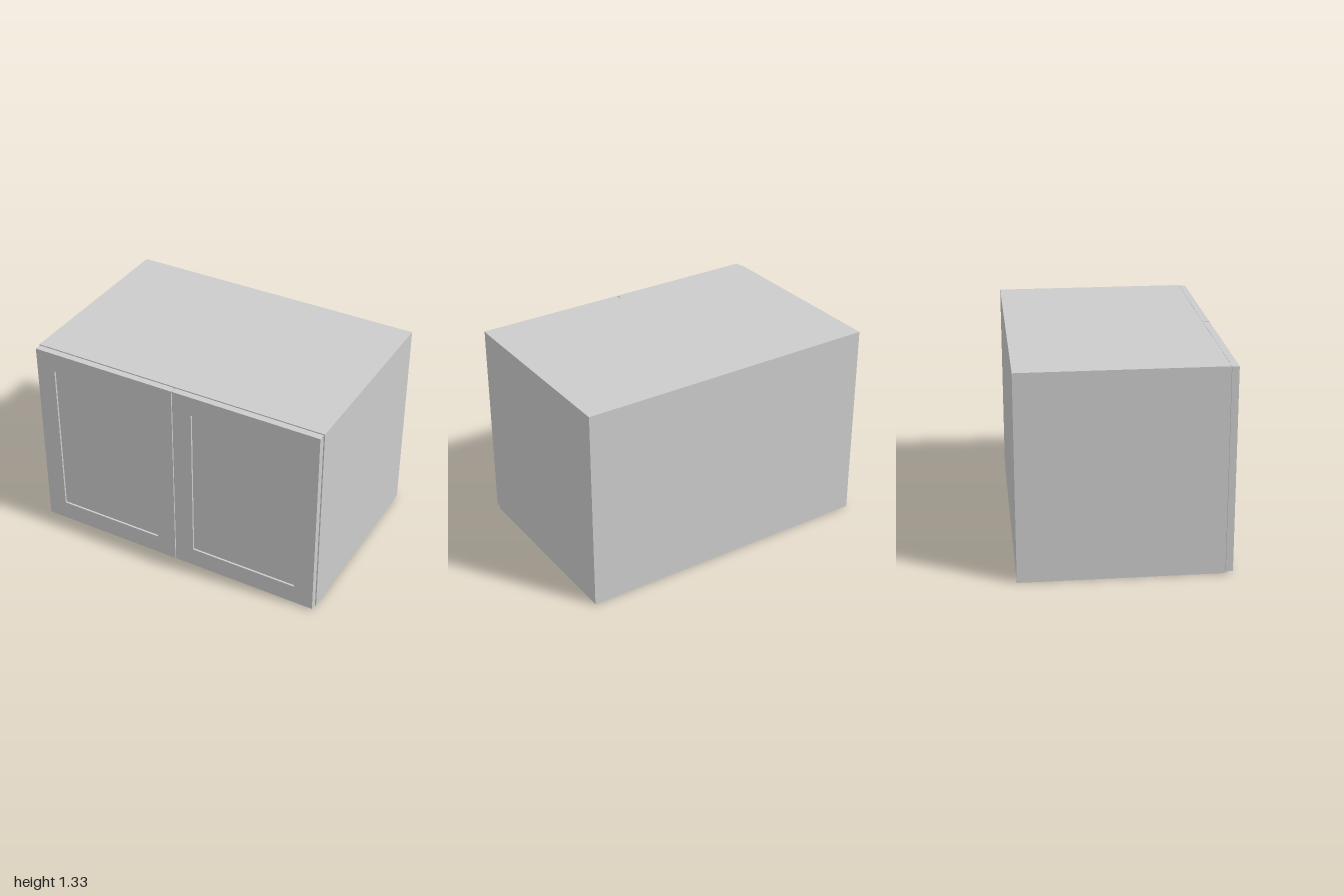
import * as THREE from 'three';

const W = 2, H = 1.33, BACK = -0.665, FRONT = 0.665;
const BOARD = 0.04;          // carcass board thickness
const CARCASS_FRONT = 0.617;
const DOOR_BACK = 0.621;

const material = new THREE.MeshStandardMaterial({ color: 0xcccccc });

// Box given by its lower and upper corners
function board(name, [x0, y0, z0], [x1, y1, z1]) {
  const mesh = new THREE.Mesh(new THREE.BoxGeometry(x1 - x0, y1 - y0, z1 - z0), material);
  mesh.position.set((x0 + x1) / 2, (y0 + y1) / 2, (z0 + z1) / 2);
  mesh.name = name;
  return mesh;
}

function rectangle(path, x0, y0, x1, y1) {
  path.moveTo(x0, y0);
  path.lineTo(x1, y0);
  path.lineTo(x1, y1);
  path.lineTo(x0, y1);
  path.closePath();
  return path;
}

// Door: a frame with a slightly recessed panel, drawn about its own centre
function createDoor(name, width, height) {
  const door = new THREE.Group();
  door.name = name;
  const depth = FRONT - DOOR_BACK, rail = 0.13, recess = 0.013;
  const w = width / 2, h = height / 2;
  const shape = rectangle(new THREE.Shape(), -w, -h, w, h);
  shape.holes.push(rectangle(new THREE.Path(), -w + rail, -h + rail, w - rail, h - rail));
  const frame = new THREE.Mesh(
    new THREE.ExtrudeGeometry(shape, { depth, bevelEnabled: false }), material);
  frame.name = 'doorFrame';
  door.add(frame, board('doorPanel',
    [-w + rail, -h + rail, 0.01], [w - rail, h - rail, depth - recess]));
  return door;
}

export function createModel() {
  const cabinet = new THREE.Group();
  cabinet.name = 'wallCabinet';
  const half = W / 2, inner = half - BOARD;

  // Carcass: two sides with top, bottom and back between them
  cabinet.add(
    board('leftSide', [inner, 0, BACK], [half, H, CARCASS_FRONT]),
    board('rightSide', [-half, 0, BACK], [-inner, H, CARCASS_FRONT]),
    board('topBoard', [-inner, H - BOARD, BACK], [inner, H, CARCASS_FRONT]),
    board('bottomBoard', [-inner, 0, BACK], [inner, BOARD, CARCASS_FRONT]),
    board('backBoard', [-inner, BOARD, BACK], [inner, H - BOARD, BACK + 0.02]));

  // Pair of doors with a narrow gap between them
  const x0 = 0.003, x1 = 0.994, y0 = 0.008, y1 = 1.326;
  for (const [name, side] of [['leftDoor', 1], ['rightDoor', -1]]) {
    const door = createDoor(name, x1 - x0, y1 - y0);
    door.position.set(side * (x0 + x1) / 2, (y0 + y1) / 2, DOOR_BACK);
    cabinet.add(door);
  }
  return cabinet;
}
